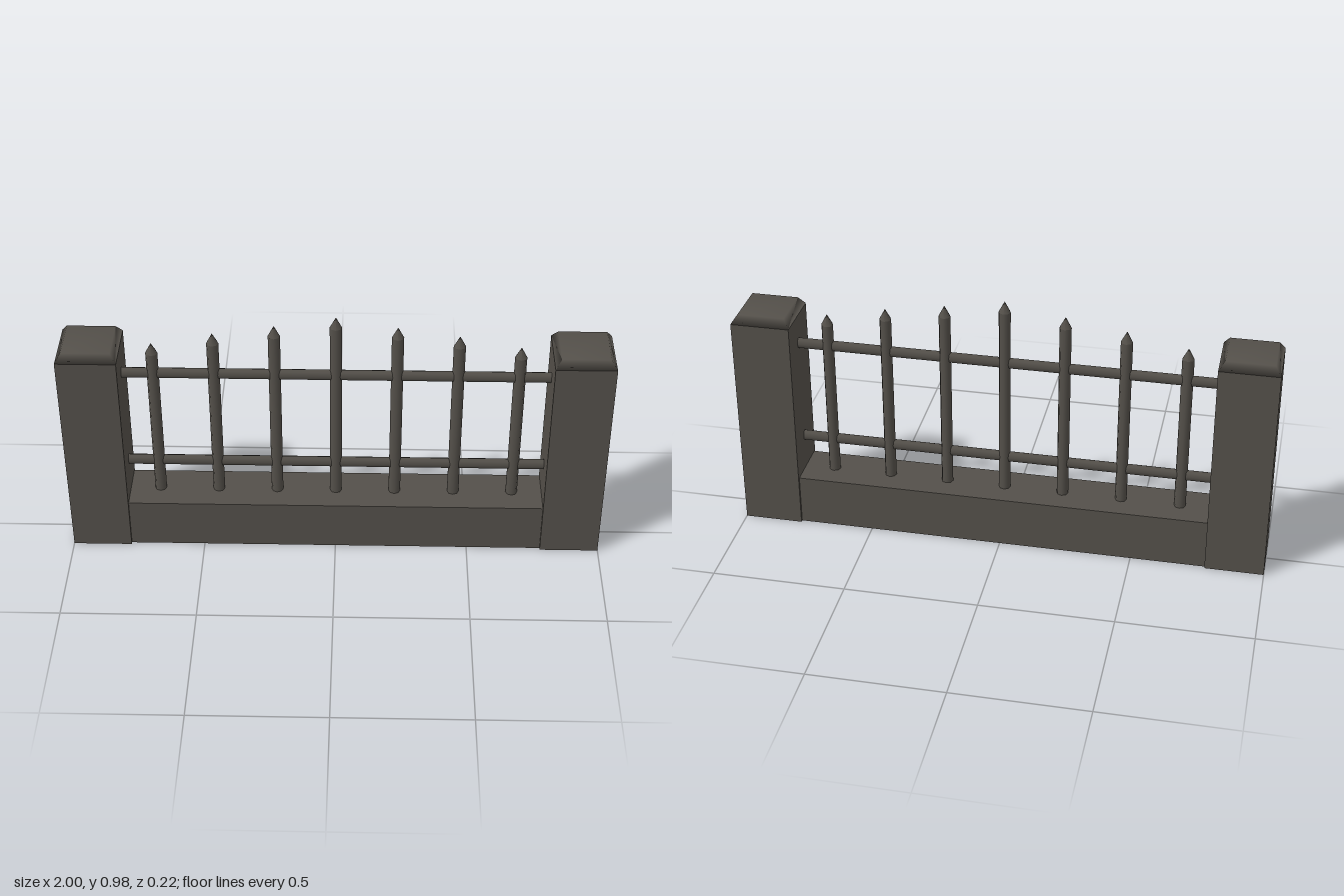
import * as THREE from 'three';
import { mergeVertices } from 'three/addons/utils/BufferGeometryUtils.js';

export function createModel() {
  const model = new THREE.Group();
  model.name = 'fenceSection';
  const stone = new THREE.MeshStandardMaterial({ color: 0x54504a });
  stone.name = 'dark stone';

  const add = (name, geometry, x, y, z, parent = model) => {
    const mesh = new THREE.Mesh(geometry, stone);
    mesh.name = name;
    mesh.position.set(x, y, z);
    parent.add(mesh);
    return mesh;
  };

  // Low wall between the posts
  add('baseWall', new THREE.BoxGeometry(1.56, 0.195, 0.2), 0, 0.0975, 0);

  // Bevelled post cap with softly shaded, shared corners
  let cap = new THREE.BoxGeometry(0.22, 0.032, 0.22);
  cap.deleteAttribute('normal');
  cap.deleteAttribute('uv');
  cap = mergeVertices(cap);
  const p = cap.attributes.position;
  for (let i = 0; i < p.count; i++) {
    if (p.getY(i) > 0) p.setXYZ(i, p.getX(i) * 0.8, p.getY(i), p.getZ(i) * 0.8);
  }
  cap.computeVertexNormals();

  // Posts at both ends
  for (const side of [-1, 1]) {
    const post = new THREE.Group();
    post.name = side > 0 ? 'leftPost' : 'rightPost';
    post.position.x = side * 0.89;
    model.add(post);
    add('postShaft', new THREE.BoxGeometry(0.22, 0.84, 0.22), 0, 0.42, 0, post);
    add('postCap', cap, 0, 0.856, 0, post);
  }

  // Horizontal rails, slightly flattened front to back
  for (const [name, y] of [['lowerRail', 0.33], ['upperRail', 0.73]]) {
    const rail = new THREE.CylinderGeometry(0.022, 0.022, 1.56, 8);
    rail.rotateZ(Math.PI / 2).scale(1, 1, 0.7);
    add(name, rail, 0, y, 0);
  }

  // Pointed pickets, rising towards the middle
  const tops = [0.98, 0.94, 0.905, 0.86];
  for (let i = -3; i <= 3; i++) {
    const picket = new THREE.Group();
    picket.name = 'picket';
    picket.position.x = i * 0.222;
    model.add(picket);
    const shoulder = tops[Math.abs(i)] - 0.042;
    const length = shoulder - 0.19;
    add('picketBar', new THREE.CylinderGeometry(0.022, 0.022, length, 8, 1, true), 0, 0.19 + length / 2, 0, picket);
    add('picketPoint', new THREE.ConeGeometry(0.022, 0.042, 8, 1, true), 0, shoulder + 0.021, 0, picket);
  }

  return model;
}
